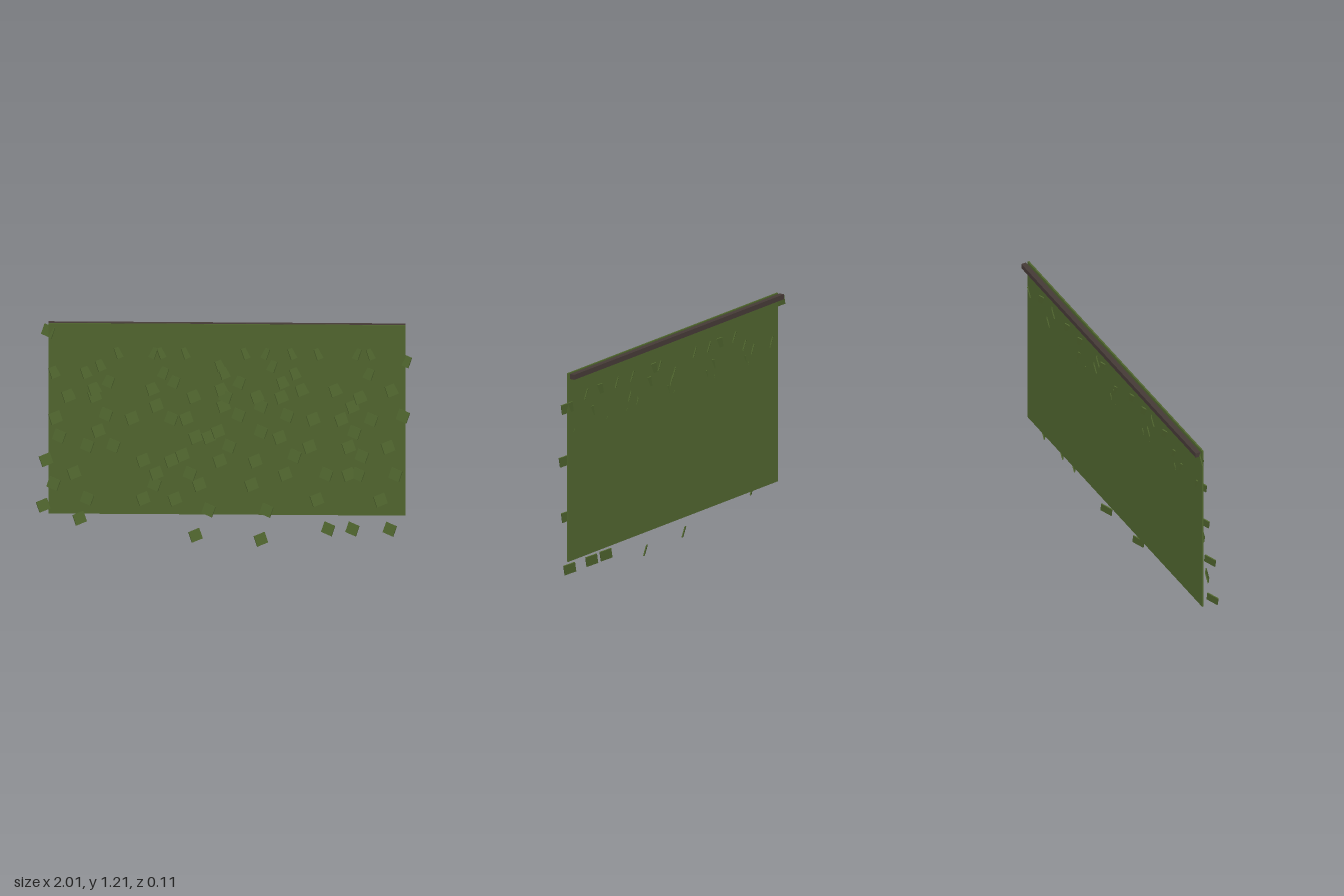
import * as THREE from 'three';

// Leaf rows: [height, x of leaves turned to +x, x of leaves turned to -x]
const LEAF_ROWS = [
  [1.17, [], [-0.94]],
  [1.06, [-0.55, -0.32, -0.19, 0.13, 0.38, 0.52, 0.8], [-0.39, 0.21, 0.7]],
  [1.02, [], [0.97]],
  [0.99, [-0.65, -0.01], [0.25]],
  [0.95, [-0.9, -0.73, 0.01, 0.39], [-0.33, 0.77]],
  [0.9, [0.32], [-0.62, -0.27, 0.08]],
  [0.86, [-0.69, -0.38, -0.01, 0.42, 0.6, 0.9], []],
  [0.82, [-0.83, -0.69, -0.16, 0.18, 0.31, 0.73], [0.01]],
  [0.77, [-0.36, 0, 0.69], [0.2]],
  [0.72, [], [-0.63, 0.08, 0.34, 0.96]],
  [0.7, [-0.9, -0.49, -0.2, 0.48, 0.63], [-0.28, 0.79]],
  [0.63, [-0.67, -0.03], [0.2, 0.7]],
  [0.6, [-0.15, -0.08, 0.3], [-0.88]],
  [0.55, [0.46, 0.67, 0.88], [-0.73, -0.59, 0.03]],
  [0.5, [-0.22], [0.38, 0.74]],
  [0.47, [-0.95, -0.43, -0.28, -0.02, 0.17], []],
  [0.4, [-0.8, -0.36, 0.33, 0.67], [-0.18, 0.55, 0.72, 0.92]],
  [0.34, [-0.13, 0.15], [-0.91, -0.37]],
  [0.26, [-0.43, -0.26, 0.5, 0.84], [-0.73]],
  [0.22, [-0.965], []],
  [0.2, [], [-0.08, 0.23]],
  [0.15, [-0.77], []],
  [0.1, [], [0.56, 0.69, 0.89]],
  [0.06, [-0.15], []],
  [0.04, [0.2], []],
];

export function createModel() {
  const model = new THREE.Group();
  model.name = 'leafCurtain';

  const foliage = new THREE.MeshStandardMaterial({ color: 0x4f642e });
  foliage.name = 'olive green';
  const wood = new THREE.MeshStandardMaterial({ color: 0x453a36 });
  wood.name = 'dark brown';

  const add = (name, geometry, material, x, y, z, parent = model) => {
    const mesh = new THREE.Mesh(geometry, material);
    mesh.name = name;
    mesh.position.set(x, y, z);
    parent.add(mesh);
    return mesh;
  };

  // Flat hanging sheet and the rail behind its top edge
  add('sheet', new THREE.BoxGeometry(1.91, 1.05, 0.009), foliage, 0.017, 0.69, -0.012);
  add('rail', new THREE.BoxGeometry(1.91, 0.028, 0.028), wood, 0.017, 1.2, -0.042);

  // Small square leaves that drift forward of the sheet towards the bottom
  const leaves = new THREE.Group();
  leaves.name = 'leaves';
  model.add(leaves);
  const leafShape = new THREE.BoxGeometry(0.068, 0.06, 0.006);
  for (const [y, turnedLeft, turnedRight] of LEAF_ROWS) {
    const z = 0.034 - 0.04 * y * y;
    [turnedLeft, turnedRight].forEach((xs, i) => {
      const side = i === 0 ? 1 : -1;
      for (const x of xs) {
        const leaf = add('leaf', leafShape, foliage, x, y, z, leaves);
        leaf.rotation.set(-0.25, side * 0.5, side * 0.24, 'YXZ');
      }
    });
  }
  return model;
}
